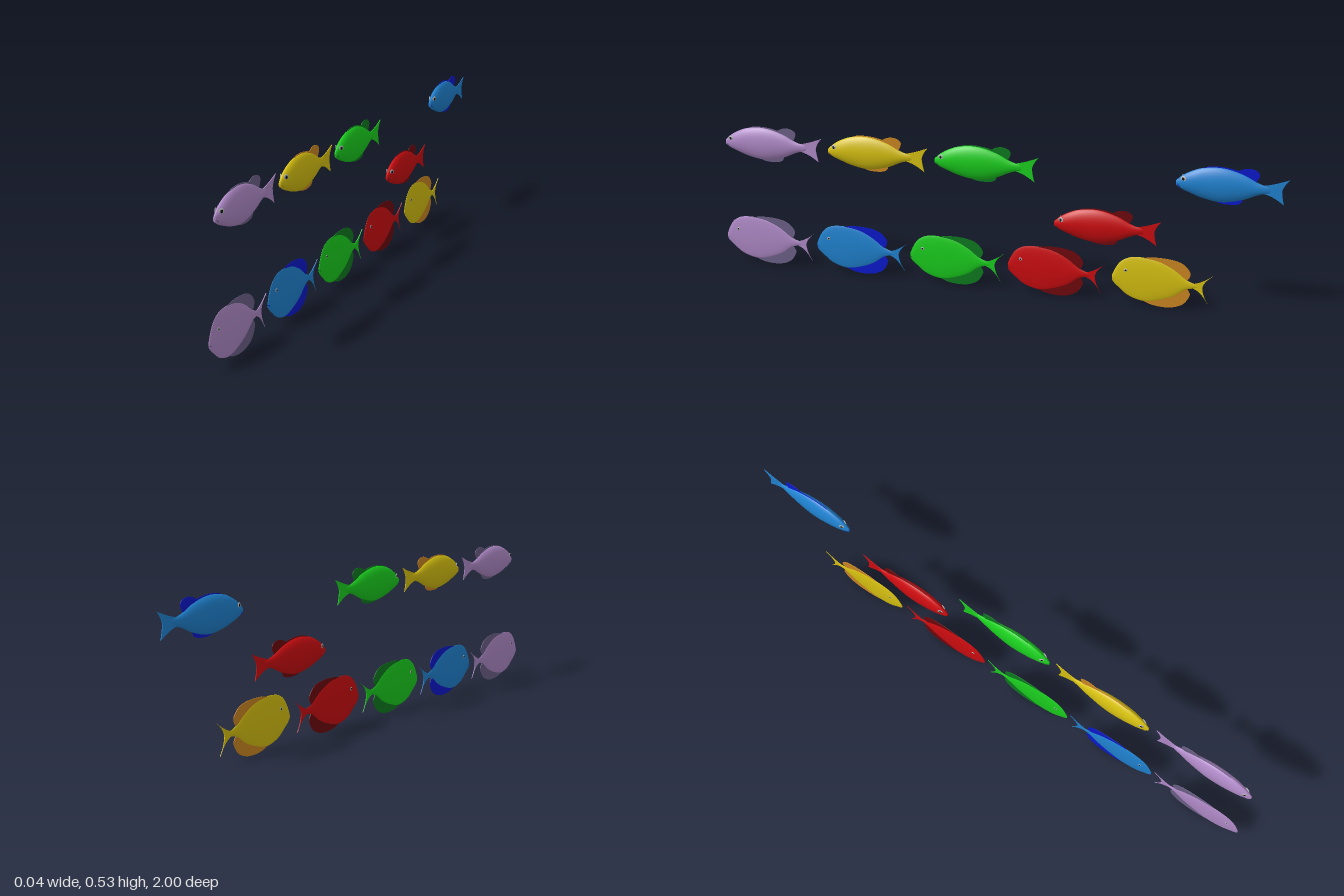
import * as THREE from 'three';

// s runs from nose (0) to tail; it is turned into -z so every fish faces +z.
// section rows: s, top y, bottom y, half width
const REEF = {
  sections: [
    [0, 0.470, 0.452, 0.004], [0.02, 0.488, 0.440, 0.011], [0.05, 0.506, 0.428, 0.017],
    [0.085, 0.519, 0.416, 0.02], [0.15, 0.524, 0.406, 0.021], [0.22, 0.506, 0.421, 0.015],
    [0.27, 0.481, 0.443, 0.008], [0.305, 0.472, 0.452, 0.002]],
  tail: { root: 0.285, top: 0.476, bottom: 0.448, up: [0.364, 0.502], notch: [0.342, 0.462], low: [0.351, 0.415] },
  fins: {
    spinyDorsalFin: [[0.06, 0.505], [0.1, 0.524], [0.15, 0.527], [0.2, 0.518], [0.21, 0.505]],
    dorsalFin: [[0.19, 0.505], [0.205, 0.521], [0.23, 0.529], [0.255, 0.525], [0.268, 0.510], [0.258, 0.484]],
    ventralFin: [[0.11, 0.42], [0.145, 0.403], [0.19, 0.401], [0.215, 0.41], [0.22, 0.43]],
  },
  eye: { s: 0.024, y: 0.479, r: 0.0095, yaw: 0.38 },
  mouth: { y: 0.461, drop: 0.011, reach: 0.014 },
};
const DISC = {
  sections: [
    [0, 0.102, 0.08, 0.002], [0.008, 0.122, 0.07, 0.0035], [0.024, 0.149, 0.056, 0.005], [0.05, 0.168, 0.034, 0.0065],
    [0.085, 0.175, 0.019, 0.0075], [0.12, 0.174, 0.014, 0.008], [0.165, 0.165, 0.024, 0.0075],
    [0.215, 0.14, 0.045, 0.006], [0.255, 0.109, 0.074, 0.004], [0.29, 0.095, 0.083, 0.0018]],
  tail: { root: 0.272, top: 0.096, bottom: 0.082, up: [0.342, 0.133], notch: [0.308, 0.087], low: [0.33, 0.027] },
  fins: {
    dorsalFin: [[0.08, 0.168], [0.14, 0.179], [0.2, 0.177], [0.24, 0.165], [0.264, 0.14], [0.264, 0.12], [0.25, 0.1]],
    analFin: [[0.09, 0.025], [0.14, 0.004], [0.2, 0.001], [0.245, 0.018], [0.267, 0.052], [0.262, 0.07], [0.25, 0.085]],
  },
  eye: { s: 0.046, y: 0.124, r: 0.006, yaw: 0.08 },
  mouth: { y: 0.089, drop: 0.004, reach: 0.006 },
};

const COLORS = {
  purple: [0xb08ac8, 0x6b6086], blue: [0x1f82d0, 0x0b18cc], green: [0x1ace1e, 0x0c7a1e],
  red: [0xcc0c10, 0x6e060c], yellow: [0xd6c010, 0xcc8622],
};
const SHARP = 1.3; // lens-shaped cross-section

const material = (color, side = THREE.FrontSide) => new THREE.MeshStandardMaterial({ color, side });

// smooth outline through the section rows
function profile(rows) {
  const interp = new THREE.CubicInterpolant(rows.map(r => r[0]), rows.flatMap(r => r.slice(1)), 3);
  return s => { const [top, bottom, w] = interp.evaluate(s); return { mid: (top + bottom) / 2, h: (top - bottom) / 2, w }; };
}

// half width of the body at a given height
function widthAt(at, s, y) {
  const { mid, h, w } = at(s);
  const k = Math.min(1, Math.abs((y - mid) / h));
  return w * Math.pow(1 - k * k, SHARP / 2);
}

function bodyGeometry(rows, at) {
  const rings = 40, sides = 32, length = rows[rows.length - 1][0];
  const pos = [], index = [];
  for (let i = -1; i <= rings + 1; i++) {
    const t = Math.min(1, Math.max(0, i / rings));
    const s = length * Math.pow(t, 1.4), { mid, h, w } = at(s);
    const k = i < 0 || i > rings ? 0 : 1; // closed ends
    for (let j = 0; j < sides; j++) {
      const a = j / sides * Math.PI * 2, c = Math.cos(a);
      pos.push(k * w * Math.sign(c) * Math.pow(Math.abs(c), SHARP), mid + k * h * Math.sin(a), -s);
    }
  }
  for (let i = 0; i < rings + 2; i++) {
    for (let j = 0; j < sides; j++) {
      const a = i * sides + j, b = i * sides + (j + 1) % sides, c = a + sides, d = b + sides;
      index.push(a, c, b, b, c, d);
    }
  }
  const g = new THREE.BufferGeometry();
  g.setAttribute('position', new THREE.Float32BufferAttribute(pos, 3));
  g.setIndex(index);
  g.computeVertexNormals();
  return g;
}

// thin plate standing in the fish's middle plane
function plate(shape, depth) {
  return new THREE.ExtrudeGeometry(shape, { depth, bevelEnabled: false, curveSegments: 8 })
    .translate(0, 0, -depth / 2).rotateY(Math.PI / 2);
}

function finGeometry(points) {
  const shape = new THREE.Shape().moveTo(...points[0]);
  shape.splineThru(points.slice(1).map(p => new THREE.Vector2(...p)));
  return plate(shape, 0.002);
}

function tailGeometry({ root, top, bottom, up, notch, low }) {
  const s = new THREE.Shape().moveTo(root, bottom);
  s.quadraticCurveTo(root + 0.03, bottom - 0.005, ...low);
  s.quadraticCurveTo(notch[0] + 0.002, (low[1] + notch[1]) / 2, ...notch);
  s.quadraticCurveTo(notch[0] + 0.004, (up[1] + notch[1]) / 2, ...up);
  s.quadraticCurveTo(root + 0.03, top + 0.005, root, top);
  return plate(s, 0.0025);
}

// downturned mouth line lying on the snout
function mouthGeometry(at, { y, drop, reach }) {
  const pts = [];
  for (let i = -4; i <= 4; i++) {
    const k = Math.abs(i) / 4, s = reach * k * k, py = y - drop * k * k;
    const side = k === 0 ? 0 : widthAt(at, s, py) * Math.min(1, k * 1.5);
    pts.push(new THREE.Vector3(Math.sign(i) * side, py, -s));
  }
  return new THREE.TubeGeometry(new THREE.CatmullRomCurve3(pts), 24, 0.0014, 6);
}

function species(spec) {
  const at = profile(spec.sections), { eye } = spec;
  return {
    eye, eyeX: widthAt(at, eye.s, eye.y),
    body: bodyGeometry(spec.sections, at),
    tail: tailGeometry(spec.tail),
    mouth: mouthGeometry(at, spec.mouth),
    fins: Object.entries(spec.fins).map(([name, p]) => [name, finGeometry(p)]),
    ball: new THREE.SphereGeometry(eye.r, 20, 14).scale(0.22, 1, 1),
    pupil: new THREE.SphereGeometry(eye.r * 0.6, 16, 12).scale(0.3, 1, 1).translate(eye.r * 0.1, 0, 0),
  };
}

function makeFish(kind, [bodyColor, finColor], name) {
  const fish = new THREE.Group();
  fish.name = name;
  const add = (geometry, mat, part, parent = fish) => {
    const m = new THREE.Mesh(geometry, mat);
    m.name = part;
    parent.add(m);
  };
  const skin = material(bodyColor), fin = material(finColor, THREE.DoubleSide);
  add(kind.body, skin, 'body');
  add(kind.tail, material(bodyColor, THREE.DoubleSide), 'tailFin');
  add(kind.mouth, fin, 'mouth');
  for (const [part, g] of kind.fins) add(g, fin, part);
  // mirrored eyes
  for (const side of [1, -1]) {
    const eye = new THREE.Group();
    eye.name = side > 0 ? 'leftEye' : 'rightEye';
    eye.position.set(side * kind.eyeX, kind.eye.y, -kind.eye.s);
    eye.rotation.y = side > 0 ? -kind.eye.yaw : Math.PI + kind.eye.yaw;
    add(kind.ball, material(0xb8bcbc), 'eyeball', eye);
    add(kind.pupil, material(0x101010), 'pupil', eye);
    fish.add(eye);
  }
  return fish;
}

export function createModel() {
  const model = new THREE.Group();
  model.name = 'fishSchool';
  const reef = species(REEF), disc = species(DISC);
  const place = (kind, color, label, x, y, z) => {
    const fish = makeFish(kind, COLORS[color], color + label);
    fish.position.set(x, y, z);
    model.add(fish);
  };
  // upper school: nose z, height offset
  for (const [color, z, y] of [['purple', 0.973, 0], ['yellow', 0.583, 0], ['green', 0.193, 0], ['red', -0.23, -0.187], ['blue', -0.636, 0]])
    place(reef, color, 'SlenderFish', 0, y, z);
  // lower row of deep-bodied fish
  for (const [color, z] of [['purple', 1], ['blue', 0.647], ['green', 0.293], ['red', -0.064], ['yellow', -0.433]])
    place(disc, color, 'DiscFish', -0.014, 0, z);
  return model;
}
